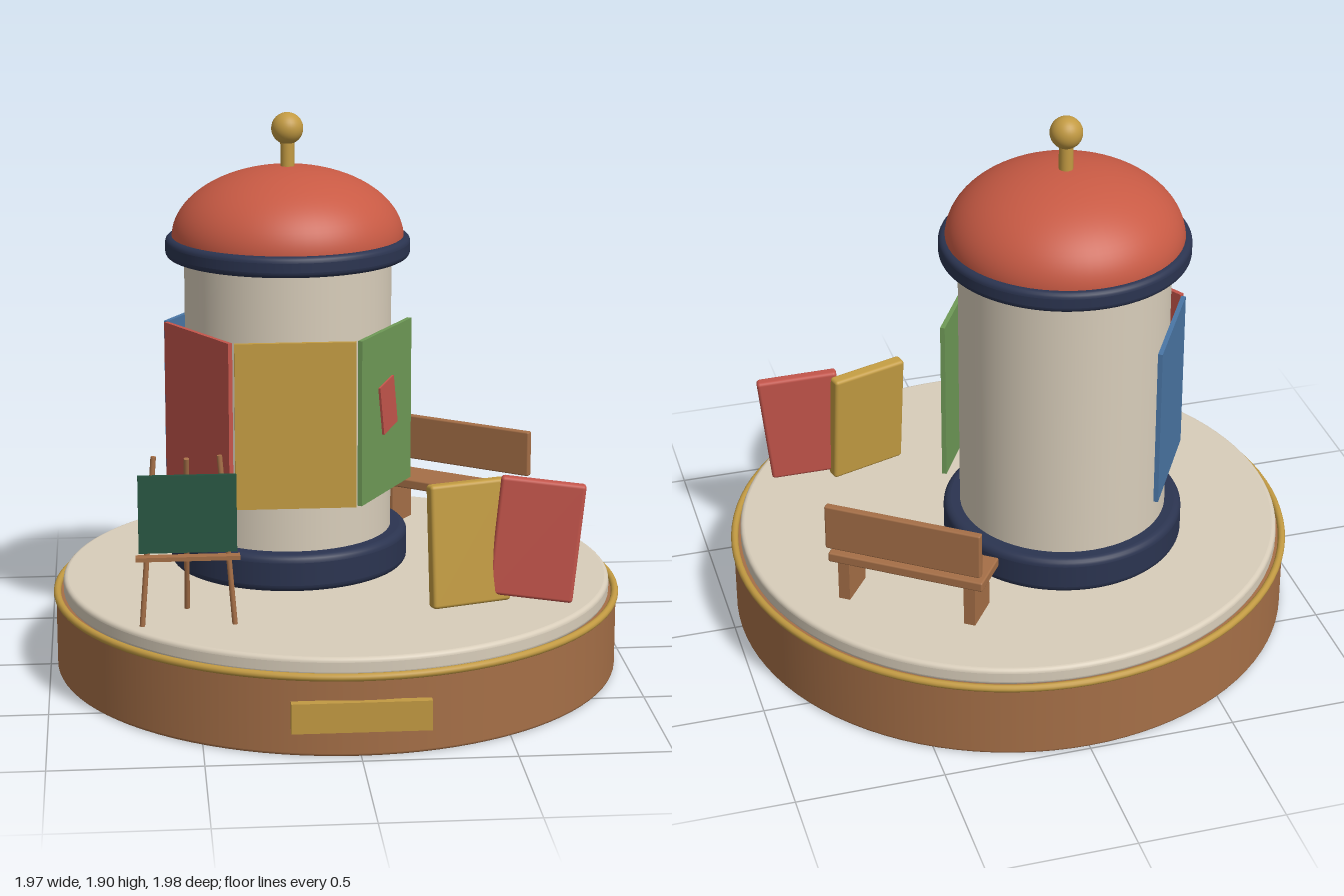
import * as THREE from 'three';
import { RoundedBoxGeometry } from 'three/addons/geometries/RoundedBoxGeometry.js';

const mat = (color, extra = {}) => new THREE.MeshStandardMaterial({ color, ...extra });
const M = {
  wood: mat(0xa56f47), cream: mat(0xd8cdba), navy: mat(0x2b3450), dome: mat(0xc85a44),
  gold: mat(0xc29a42), red: mat(0xc4554b), green: mat(0x6f9a57), blue: mat(0x4a76a5),
  slate: mat(0x24523f), yellow: mat(0xc39c42),
};

function add(parent, name, geometry, material, x = 0, y = 0, z = 0) {
  const mesh = new THREE.Mesh(geometry, material);
  mesh.name = name;
  mesh.position.set(x, y, z);
  parent.add(mesh);
  return mesh;
}

function subgroup(parent, name, x, y, z, turn = 0) {
  const g = new THREE.Group();
  g.name = name;
  g.position.set(x, y, z);
  g.rotation.y = turn;
  parent.add(g);
  return g;
}

const box = (w, h, d) => new THREE.BoxGeometry(w, h, d);

// Solid disc with rounded rims, standing on y = 0
function disc(r, h, bevel) {
  const shape = new THREE.Path();
  shape.moveTo(0, 0);
  shape.lineTo(r - bevel, 0);
  shape.absarc(r - bevel, bevel, bevel, -Math.PI / 2, 0, false);
  shape.absarc(r - bevel, h - bevel, bevel, 0, Math.PI / 2, false);
  shape.lineTo(0, h);
  const pts = [];
  for (const curve of shape.curves) {
    // Doubled points at the joins keep the flat faces crisp
    const n = curve.isLineCurve ? 1 : 5;
    pts.push(...curve.getPoints(n));
  }
  return new THREE.LatheGeometry(pts, 96);
}

// Thin rod between two points
function rod(parent, name, a, b, r) {
  const from = new THREE.Vector3(...a), to = new THREE.Vector3(...b);
  const dir = to.clone().sub(from);
  const mesh = add(parent, name, new THREE.CylinderGeometry(r, r, dir.length(), 12), M.wood);
  mesh.position.copy(from).add(to).multiplyScalar(0.5);
  mesh.quaternion.setFromUnitVectors(new THREE.Vector3(0, 1, 0), dir.normalize());
}

function buildBase(root) {
  const g = subgroup(root, 'base', 0, 0, -0.015);
  add(g, 'plinth', disc(0.976, 0.265, 0.01), M.wood);
  const trim = add(g, 'goldTrim', new THREE.TorusGeometry(0.972, 0.013, 12, 96), M.gold, 0, 0.266);
  trim.rotation.x = Math.PI / 2;
  add(g, 'floor', disc(0.95, 0.062, 0.015), M.cream, 0, 0.26);
  add(g, 'plaque', box(0.45, 0.1, 0.03), M.gold, 0, 0.14, 0.982);
}

function buildColumn(root) {
  const g = subgroup(root, 'column', -0.155, 0, -0.16);
  add(g, 'shaft', new THREE.CylinderGeometry(0.358, 0.358, 1.11, 64), M.cream, 0, 0.875);
  add(g, 'footRing', disc(0.415, 0.13, 0.025), M.navy, 0, 0.32);
  add(g, 'topRing', disc(0.422, 0.072, 0.02), M.navy, 0, 1.41);
  const dome = add(g, 'dome',
    new THREE.SphereGeometry(0.4, 64, 24, 0, Math.PI * 2, 0, Math.PI / 2), M.dome, 0, 1.475);
  dome.scale.y = 0.615;
  add(g, 'finialStem', new THREE.CylinderGeometry(0.024, 0.024, 0.13, 24), M.gold, 0, 1.76);
  add(g, 'finialBall', new THREE.SphereGeometry(0.055, 32, 20), M.gold, 0, 1.85);

  // Posters set around the shaft every sixty degrees
  [['yellow', 0], ['green', 1], ['red', -1], ['blue', -2]].forEach(([color, step]) => {
    const p = subgroup(g, color + 'Poster', 0, 0.895, 0, step * Math.PI / 3);
    add(p, 'panel', box(0.41, 0.575, 0.016), M[color], 0, 0, 0.37);
    if (color === 'green') {
      const card = add(p, 'card', box(0.115, 0.175, 0.012), M.red, 0, 0.022, 0.38);
      card.rotation.z = 0.2;
    }
  });
}

function buildBench(root) {
  const g = subgroup(root, 'bench', 0.465, 0, -0.467, -0.62);
  add(g, 'seat', new RoundedBoxGeometry(0.55, 0.035, 0.165, 2, 0.006), M.wood, 0, 0.488, 0.01);
  add(g, 'backrest', new RoundedBoxGeometry(0.55, 0.165, 0.027, 2, 0.006), M.wood, 0, 0.62, -0.078);
  for (const s of [-1, 1]) add(g, 'leg', box(0.04, 0.155, 0.14), M.wood, s * 0.225, 0.396, 0.01);
}

function buildBooks(root) {
  // Two large books standing upright with a slight lean
  const first = subgroup(root, 'yellowBook', 0.41, 0.532, 0.408, 0.31);
  add(first, 'cover', new RoundedBoxGeometry(0.285, 0.42, 0.048, 3, 0.012), M.yellow).rotation.x = -0.08;
  const second = subgroup(root, 'redBook', 0.64, 0.54, 0.413, -0.15);
  add(second, 'cover', new RoundedBoxGeometry(0.285, 0.41, 0.042, 3, 0.012), M.red).rotation.set(-0.03, 0, -0.1);
}

function buildEasel(root) {
  const g = subgroup(root, 'easel', -0.533, 0, 0);
  const board = add(g, 'chalkboard', box(0.32, 0.255, 0.02), M.slate, 0, 0.705, 0.574);
  board.rotation.x = -0.08;
  add(g, 'tray', box(0.34, 0.014, 0.035), M.wood, 0, 0.556, 0.575);
  for (const s of [-1, 1]) rod(g, 'frontLeg', [s * 0.152, 0.32, 0.565], [s * 0.107, 0.89, 0.542], 0.009);
  rod(g, 'rearLeg', [0, 0.32, 0.39], [0, 0.88, 0.54], 0.009);
}

export function createModel() {
  const root = new THREE.Group();
  root.name = 'columnDiorama';
  buildBase(root);
  buildColumn(root);
  buildBench(root);
  buildBooks(root);
  buildEasel(root);
  return root;
}
